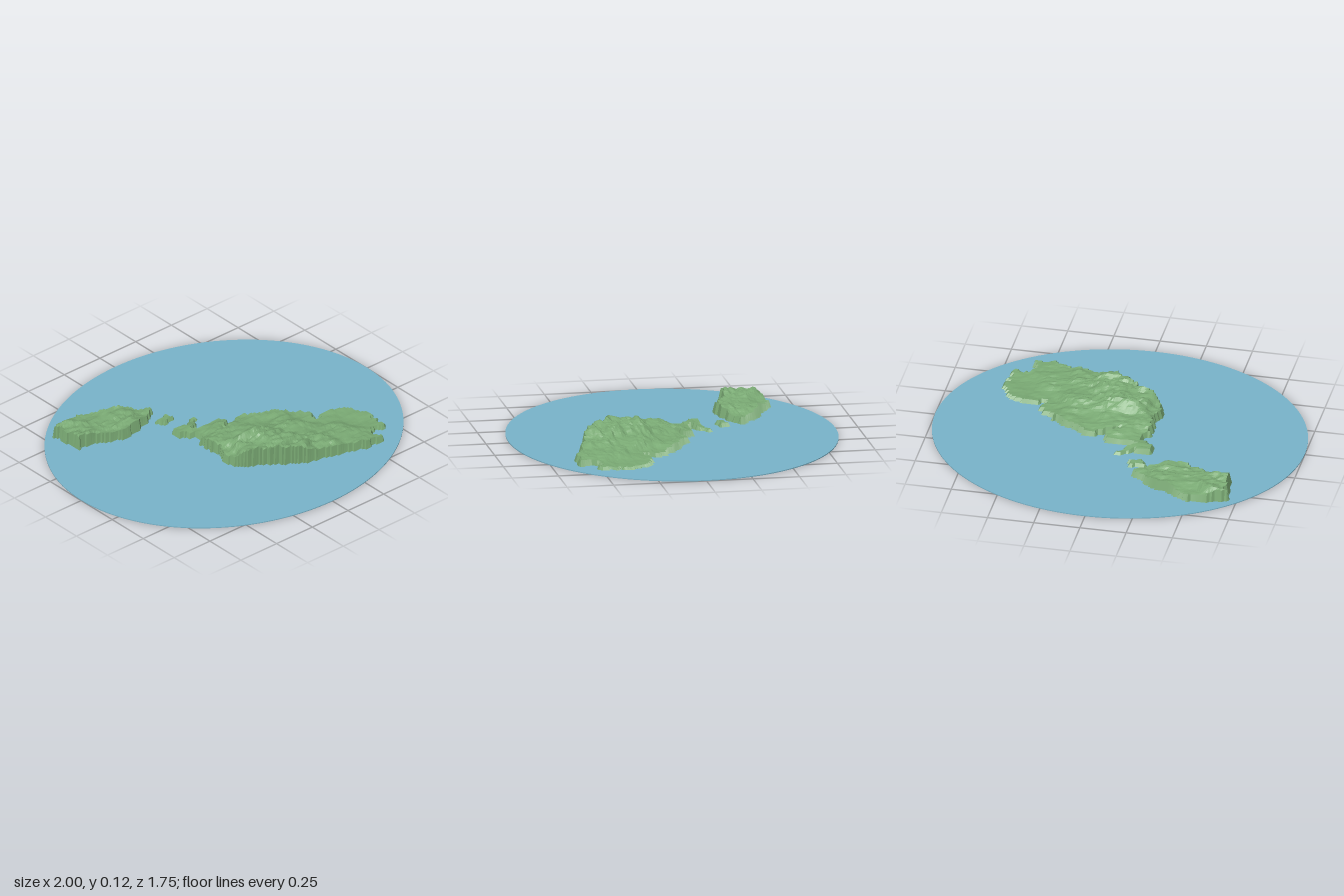
import * as THREE from 'three';

const STEP = 0.0125; // terrain grid spacing
const SEA = 0.005;   // height of the sea disc

// Coast outlines as [x, z] and a few spot heights as [x, z, height]
const mainIsland = {
  coast: [[-0.21, -0.14], [-0.2, -0.18], [-0.1, -0.18], [-0.03, -0.23], [-0.02, -0.2], [-0.12, -0.115],
    [0.06, -0.1], [0.06, -0.05], [0, -0.01], [0.16, -0.06], [0.32, 0.03], [0.47, 0.15], [0.45, 0.23],
    [0.52, 0.2], [0.65, 0.23], [0.71, 0.36], [0.67, 0.53], [0.63, 0.48], [0.57, 0.53], [0.59, 0.6],
    [0.5, 0.6], [0.15, 0.5], [-0.16, 0.29], [-0.18, 0.22], [-0.15, 0.14], [-0.16, 0], [-0.13, -0.06]],
  spots: [[-0.17, 0.22, 0.045], [-0.07, 0.27, 0.095], [0.05, 0.37, 0.105], [0.02, 0.22, 0.098],
    [0.13, 0.42, 0.095], [0, 0.06, 0.052], [0.17, 0, 0.03], [-0.12, -0.12, 0.03], [-0.04, -0.2, 0.015],
    [0.28, 0.28, 0.058], [0.27, 0.48, 0.06], [0.42, 0.45, 0.042], [0.45, 0.2, 0.02], [0.63, 0.36, 0.014]],
};
const northIsland = {
  coast: [[-0.7, -0.57], [-0.5, -0.62], [-0.36, -0.54], [-0.27, -0.51], [-0.15, -0.41], [-0.24, -0.34],
    [-0.44, -0.31], [-0.62, -0.39], [-0.69, -0.39], [-0.68, -0.47]],
  spots: [[-0.63, -0.5, 0.068], [-0.5, -0.6, 0.035], [-0.45, -0.4, 0.05], [-0.34, -0.42, 0.06], [-0.2, -0.42, 0.035]],
};
const channelIslet = {
  coast: [[-0.2, -0.32], [-0.12, -0.33], [-0.12, -0.28], [-0.19, -0.28]],
  spots: [[-0.16, -0.3, 0.022]],
};

// Repeatable noise from 0 to 1 on integer coordinates
function hash(i, j) {
  const s = Math.sin(i * 127.1 + j * 311.7) * 43758.5453;
  return s - Math.floor(s);
}

function valueNoise(x, z) {
  const i = Math.floor(x), j = Math.floor(z), u = x - i, v = z - j;
  const a = THREE.MathUtils.lerp(hash(i, j), hash(i + 1, j), u);
  const b = THREE.MathUtils.lerp(hash(i, j + 1), hash(i + 1, j + 1), u);
  return THREE.MathUtils.lerp(a, b, v);
}

function inside(coast, x, z) {
  let hit = false;
  for (let i = 0, j = coast.length - 1; i < coast.length; j = i++) {
    const [xi, zi] = coast[i], [xj, zj] = coast[j];
    if ((zi > z) !== (zj > z) && x < ((xj - xi) * (z - zi)) / (zj - zi) + xi) hit = !hit;
  }
  return hit;
}

// Land height: distance-weighted spot heights roughened by eroded valleys
function landHeight(spots, x, z) {
  let sum = 0, weight = 0;
  for (const [sx, sz, h] of spots) {
    const w = 1 / ((x - sx) ** 2 + (z - sz) ** 2 + 0.0006) ** 2;
    sum += w * h;
    weight += w;
  }
  const rough = 0.65 * valueNoise(x * 18, z * 32) + 0.35 * valueNoise(x * 50, z * 75);
  return SEA + Math.max(0.004, (sum / weight) * (0.72 + 0.5 * rough));
}

// Faceted height grid, kept only where it touches the island
function islandGeometry({ coast, spots }) {
  const xs = coast.map((p) => p[0]), zs = coast.map((p) => p[1]);
  const i0 = Math.floor(Math.min(...xs) / STEP) - 2, i1 = Math.ceil(Math.max(...xs) / STEP) + 2;
  const j0 = Math.floor(Math.min(...zs) / STEP) - 2, j1 = Math.ceil(Math.max(...zs) / STEP) + 2;
  const rows = [];
  for (let i = i0; i <= i1; i++) {
    const row = [];
    for (let j = j0; j <= j1; j++) {
      const x = i * STEP, z = j * STEP;
      // a little wobble makes the shoreline ragged
      const wx = x + (valueNoise(x * 45, z * 45) - 0.5) * 0.025;
      const wz = z + (valueNoise(x * 45 + 80, z * 45) - 0.5) * 0.025;
      const land = inside(coast, wx, wz);
      row.push({ land, p: [x, land ? landHeight(spots, x, z) : SEA - 0.001, z] });
    }
    rows.push(row);
  }
  const positions = [];
  const addTriangle = (...corners) => {
    if (corners.some((c) => c.land)) corners.forEach((c) => positions.push(...c.p));
  };
  for (let i = 0; i < rows.length - 1; i++) {
    for (let j = 0; j < rows[i].length - 1; j++) {
      const a = rows[i][j], b = rows[i][j + 1], c = rows[i + 1][j + 1], d = rows[i + 1][j];
      addTriangle(a, b, d);
      addTriangle(b, c, d);
    }
  }
  const geometry = new THREE.BufferGeometry();
  geometry.setAttribute('position', new THREE.Float32BufferAttribute(positions, 3));
  geometry.computeVertexNormals();
  return geometry;
}

export function createModel() {
  const group = new THREE.Group();
  group.name = 'islandMap';
  const water = new THREE.MeshStandardMaterial({ color: 0x78b4ca });
  water.name = 'seaBlue';
  const grass = new THREE.MeshStandardMaterial({ color: 0x7aaa74 });
  grass.name = 'landGreen';

  // Oval sea disc
  const sea = new THREE.Mesh(new THREE.CylinderGeometry(1, 1, SEA, 128), water);
  sea.name = 'sea';
  sea.scale.z = 0.877;
  sea.position.y = SEA / 2;
  group.add(sea);

  // Relief islands
  for (const [name, island] of Object.entries({ mainIsland, northIsland, channelIslet })) {
    const mesh = new THREE.Mesh(islandGeometry(island), grass);
    mesh.name = name;
    group.add(mesh);
  }
  return group;
}
